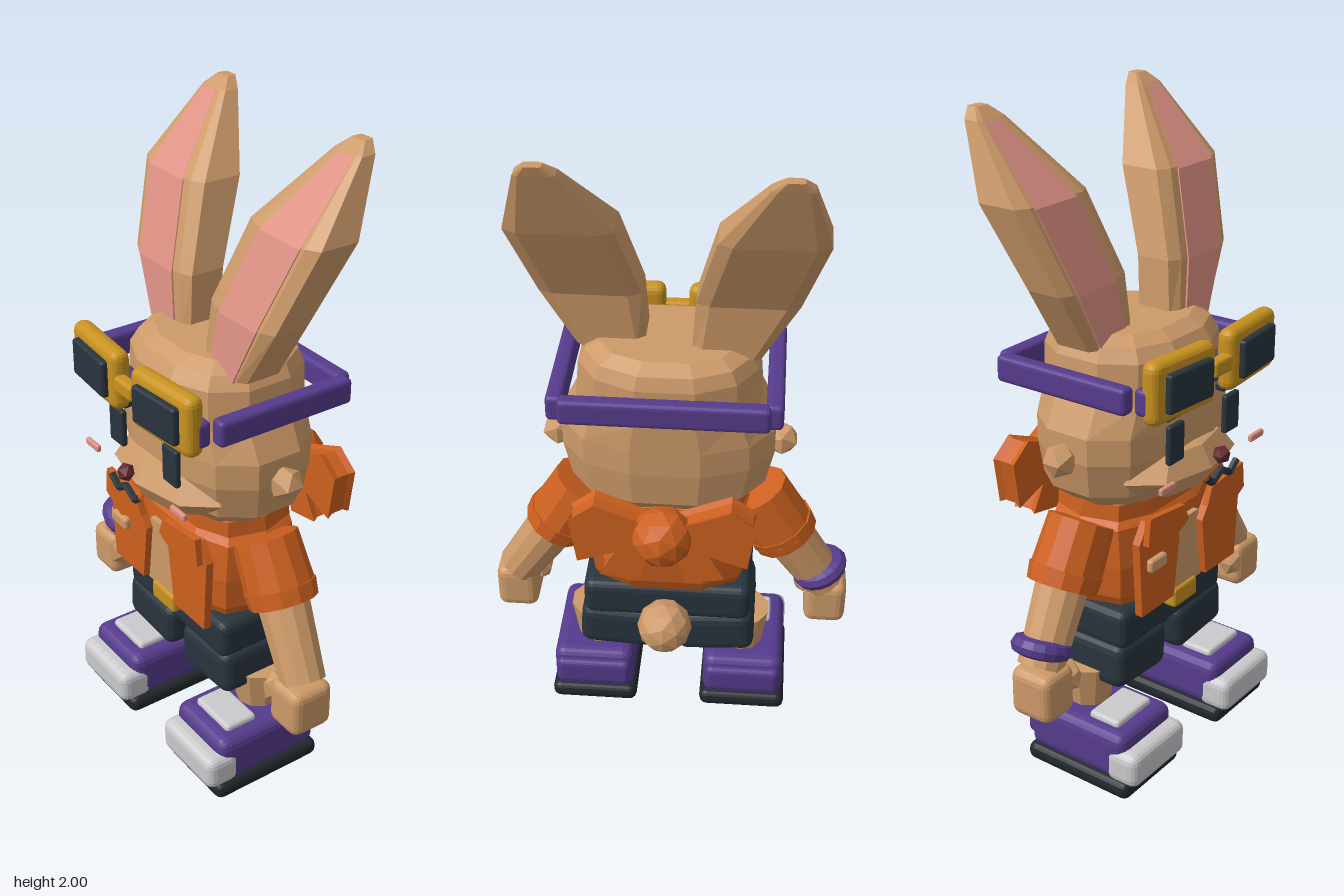
import * as THREE from 'three';
import { RoundedBoxGeometry } from 'three/addons/geometries/RoundedBoxGeometry.js';

const paint = (name, color) => {
  const m = new THREE.MeshStandardMaterial({ color });
  m.name = name;
  return m;
};

export function createModel() {
  const model = new THREE.Group();
  model.name = 'rabbit';
  const fur = paint('fur', 0xcd9a69), pink = paint('pink', 0xde9184), orange = paint('orange', 0xcd601f);
  const purple = paint('purple', 0x563b8c), navy = paint('navy', 0x29343d), gold = paint('gold', 0xc8921f);
  const white = paint('light grey', 0xcbcbce), black = paint('sole black', 0x20272c), maroon = paint('maroon', 0x642a2e);

  // Faceted mesh
  const add = (name, geo, mat, pos = [0, 0, 0], rot = [0, 0, 0]) => {
    const g = geo.index ? geo.toNonIndexed() : geo;
    g.computeVertexNormals();
    const m = new THREE.Mesh(g, mat);
    m.name = name;
    m.position.set(...pos);
    m.rotation.set(...rot);
    model.add(m);
    return m;
  };
  // Bevelled box from its extents
  const box = (name, mat, x, y, z, r = 0.02, rot) => {
    const s = [x, y, z].map(([a, b]) => Math.abs(b - a));
    return add(name, new RoundedBoxGeometry(...s, 2, Math.min(r, Math.min(...s) * 0.45)), mat,
      [x, y, z].map(([a, b]) => (a + b) / 2), rot);
  };
  // Closed loft through rounded sections [y, centreX, halfWidth, zFront, zBack]
  const loft = (name, mat, sections, n, e = 0.7) => {
    const peak = Math.pow(Math.max(...Array.from({ length: n }, (_, i) => Math.sin(((i + 0.5) / n) * 2 * Math.PI))), e);
    const p = (v) => (Math.sign(v) * Math.pow(Math.abs(v), e)) / peak;
    const pos = [], idx = [];
    for (const [y, cx, w, zf, zb] of sections) {
      for (let i = 0; i < n; i++) {
        const a = ((i + 0.5) / n) * 2 * Math.PI;
        pos.push(cx + w * p(Math.sin(a)), y, (zf + zb) / 2 + ((zf - zb) / 2) * p(Math.cos(a)));
      }
    }
    const last = (sections.length - 1) * n;
    for (let k = 0; k < last; k += n) {
      for (let i = 0; i < n; i++) {
        const a = k + i, b = k + ((i + 1) % n);
        idx.push(a, b, b + n, a, b + n, a + n);
      }
    }
    for (let i = 1; i < n - 1; i++) idx.push(0, i + 1, i, last, last + i, last + i + 1);
    const g = new THREE.BufferGeometry();
    g.setAttribute('position', new THREE.Float32BufferAttribute(pos, 3));
    g.setIndex(idx);
    return add(name, g, mat);
  };
  // Tapered cylinder between two points
  const limb = (name, mat, a, b, ra, rb, n = 12) => {
    const A = new THREE.Vector3(...a), B = new THREE.Vector3(...b), d = B.clone().sub(A);
    const m = add(name, new THREE.CylinderGeometry(rb, ra, d.length(), n), mat);
    m.position.copy(A).add(B).multiplyScalar(0.5);
    m.quaternion.setFromUnitVectors(new THREE.Vector3(0, 1, 0), d.normalize());
    return m;
  };
  // Flat cut-out plate, mirrored by s, optionally with flared rims
  const plate = (name, mat, pts, s, z, depth, flare = 0) => {
    const shape = new THREE.Shape(pts.map(([x, y]) => new THREE.Vector2(s * x, y)));
    return add(name, new THREE.ExtrudeGeometry(shape, {
      depth, bevelEnabled: flare > 0, bevelThickness: 0.02, bevelSize: -flare, bevelSegments: 1,
    }), mat, [0, 0, z]);
  };

  // Head and face
  loft('head', fur, [
    [0.87, 0, 0.23, 0.18, -0.14], [0.92, 0, 0.29, 0.22, -0.185], [1.03, 0, 0.315, 0.245, -0.195],
    [1.11, 0, 0.315, 0.245, -0.195], [1.2, 0, 0.27, 0.245, -0.195], [1.32, 0, 0.26, 0.24, -0.195],
    [1.36, 0, 0.24, 0.215, -0.18], [1.385, 0, 0.2, 0.17, -0.14],
  ], 12, 0.85);
  add('muzzle', new THREE.SphereGeometry(1, 8, 4).scale(0.25, 0.09, 0.13), fur, [0, 0.97, 0.18]);
  add('nose', new THREE.IcosahedronGeometry(0.028, 0), maroon, [0, 1.02, 0.34]);
  const smile = new THREE.CurvePath();
  const lips = [[-0.08, 0.975], [-0.045, 0.947], [0, 0.972], [0.045, 0.947], [0.08, 0.975]]
    .map(([x, y]) => new THREE.Vector3(x, y, 0.34));
  for (let i = 0; i < 4; i++) smile.add(new THREE.LineCurve3(lips[i], lips[i + 1]));
  add('mouth', new THREE.TubeGeometry(smile, 24, 0.012, 6), navy);

  for (const s of [1, -1]) {
    // Ears, one set slightly further back
    const dz = s > 0 ? 0 : -0.04;
    const ear = [
      [1.35, 0.165, 0.1, 0.125, -0.02], [1.53, 0.222, 0.145, 0.11, -0.035],
      [1.77, 0.288, 0.15, 0.025, -0.14], [1.97, 0.328, 0.055, -0.155, -0.215], [2, 0.33, 0.025, -0.19, -0.225],
    ];
    loft('ear', fur, ear.map(([y, x, w, f, b]) => [y, s * x, w, f + dz, b + dz]), 8, 0.35);
    loft('innerEar', pink, ear.map(([y, x, w, f]) => [y - 0.006, s * (x + 0.008), w * 0.58, f + dz + 0.006, f + dz - 0.003]), 4);

    const x = (a, b) => [s * a, s * b];
    box('eye', navy, x(0.105, 0.178), [1.03, 1.15], [0.265, 0.285], 0.008);
    box('brow', navy, x(0.075, 0.205), [1.175, 1.2], [0.26, 0.295], 0.008);
    box('blush', pink, x(0.195, 0.265), [0.98, 1.003], [0.305, 0.32], 0.006);
    add('cheekTuft', new THREE.IcosahedronGeometry(0.052, 0), fur, [s * 0.335, 1.035, 0.016]);

    // Goggles
    const tilt = [0, s * 0.08, 0];
    box('goggleFrame', gold, x(0.035, 0.305), [1.195, 1.38], [0.275, 0.335], 0.03, tilt);
    box('goggleLens', navy, x(0.075, 0.265), [1.23, 1.345], [0.32, 0.355], 0.01, tilt);
    box('strapSide', purple, x(0.285, 0.335), [1.22, 1.3], [-0.215, 0.24], 0.015);

    // Arms
    limb('sleeve', orange, [s * 0.265, 0.825, 0.035], [s * 0.352, 0.67, 0.036], 0.1, 0.108);
    limb('sleeveCuff', orange, [s * 0.34, 0.695, 0.036], [s * 0.365, 0.65, 0.037], 0.111, 0.105);
    limb('forearm', fur, [s * 0.35, 0.68, 0.038], [s * 0.495, 0.45, 0.06], 0.082, 0.07);
    box('hand', fur, x(0.435, 0.568), [0.31, 0.465], [0, 0.145], 0.03);
    add('thumb', new THREE.IcosahedronGeometry(0.045, 0).scale(0.8, 1.2, 1), fur, [s * 0.43, 0.41, 0.11]);

    // Jacket front
    plate('jacketPanel', orange, [[0.085, 0.56], [0.245, 0.56], [0.26, 0.8], [0.22, 0.86], [0.12, 0.84], [0.06, 0.75]], s, 0.215, 0.025);
    plate('jacketLapel', orange, [[0.05, 0.81], [0.07, 0.865], [0.24, 0.885], [0.25, 0.8], [0.165, 0.755]], s, 0.245, 0.02);

    // Shorts and legs
    box('shortsLeg', navy, x(0.03, 0.275), [0.285, 0.435], [-0.135, 0.185], 0.035, [0, 0, s * 0.06]);
    limb('leg', fur, [s * 0.235, 0.19, 0.03], [s * 0.235, 0.34, 0.03], 0.065, 0.09, 10);

    // Shoes
    box('sole', black, x(0.105, 0.385), [0, 0.058], [-0.1, 0.285], 0.025);
    box('shoeUpper', purple, x(0.115, 0.375), [0.05, 0.21], [-0.095, 0.265], 0.035);
    box('shoeHeel', purple, x(0.125, 0.365), [0.085, 0.18], [-0.112, -0.04], 0.02);
    box('toeCap', white, x(0.113, 0.38), [0.05, 0.163], [0.2, 0.315], 0.03);
    box('shoeTongue', white, x(0.16, 0.33), [0.195, 0.228], [0.105, 0.215], 0.012);

    // Back bow
    plate('bowLoop', orange, [[0.02, 0.86], [0.25, 0.78], [0.272, 0.93], [0.2, 0.985], [0.02, 0.91]], s, -0.275, 0.04, 0.008);
    plate('bowTail', orange, [[0.02, 0.87], [0.07, 0.715], [0.185, 0.735], [0.11, 0.87]], s, -0.275, 0.04, 0.008);
  }

  // Goggle bridge and strap ends
  box('goggleBridge', gold, [-0.045, 0.045], [1.265, 1.315], [0.305, 0.345], 0.012);
  box('strapFront', purple, [-0.305, 0.305], [1.22, 1.3], [0.248, 0.298], 0.015);
  box('strapBack', purple, [-0.3, 0.3], [1.22, 1.3], [-0.235, -0.185], 0.015);

  // Wristband on one arm
  const band = add('wristband', new THREE.TorusGeometry(0.063, 0.029, 8, 16), purple, [-0.478, 0.507, 0.052]);
  band.quaternion.setFromUnitVectors(new THREE.Vector3(0, 0, 1), new THREE.Vector3(-0.42, -0.9, 0.05).normalize());

  // Torso
  loft('jacket', orange, [
    [0.53, 0, 0.235, 0.18, -0.13], [0.58, 0, 0.26, 0.2, -0.15], [0.68, 0, 0.265, 0.205, -0.16],
    [0.8, 0, 0.26, 0.19, -0.15], [0.82, 0, 0.24, 0.175, -0.15], [0.87, 0, 0.235, 0.175, -0.15], [0.89, 0, 0.19, 0.14, -0.12],
  ], 10);
  plate('shirt', fur, [[-0.09, 0.55], [0.09, 0.55], [0.07, 0.78], [-0.07, 0.78]], 1, 0.2, 0.018);
  box('pocketTab', fur, [-0.228, -0.148], [0.7, 0.742], [0.238, 0.262], 0.01);
  box('shortsWaist', navy, [-0.262, 0.262], [0.42, 0.55], [-0.135, 0.185], 0.03);
  box('shortsSeat', navy, [-0.2, 0.2], [0.365, 0.45], [-0.11, 0.14], 0.03);
  box('buckle', gold, [-0.06, 0.06], [0.495, 0.56], [0.18, 0.228], 0.012);
  add('tail', new THREE.IcosahedronGeometry(0.085, 1), fur, [0, 0.455, -0.205]);
  add('bowKnot', new THREE.IcosahedronGeometry(0.092, 1), orange, [0, 0.875, -0.278]);

  return model;
}
